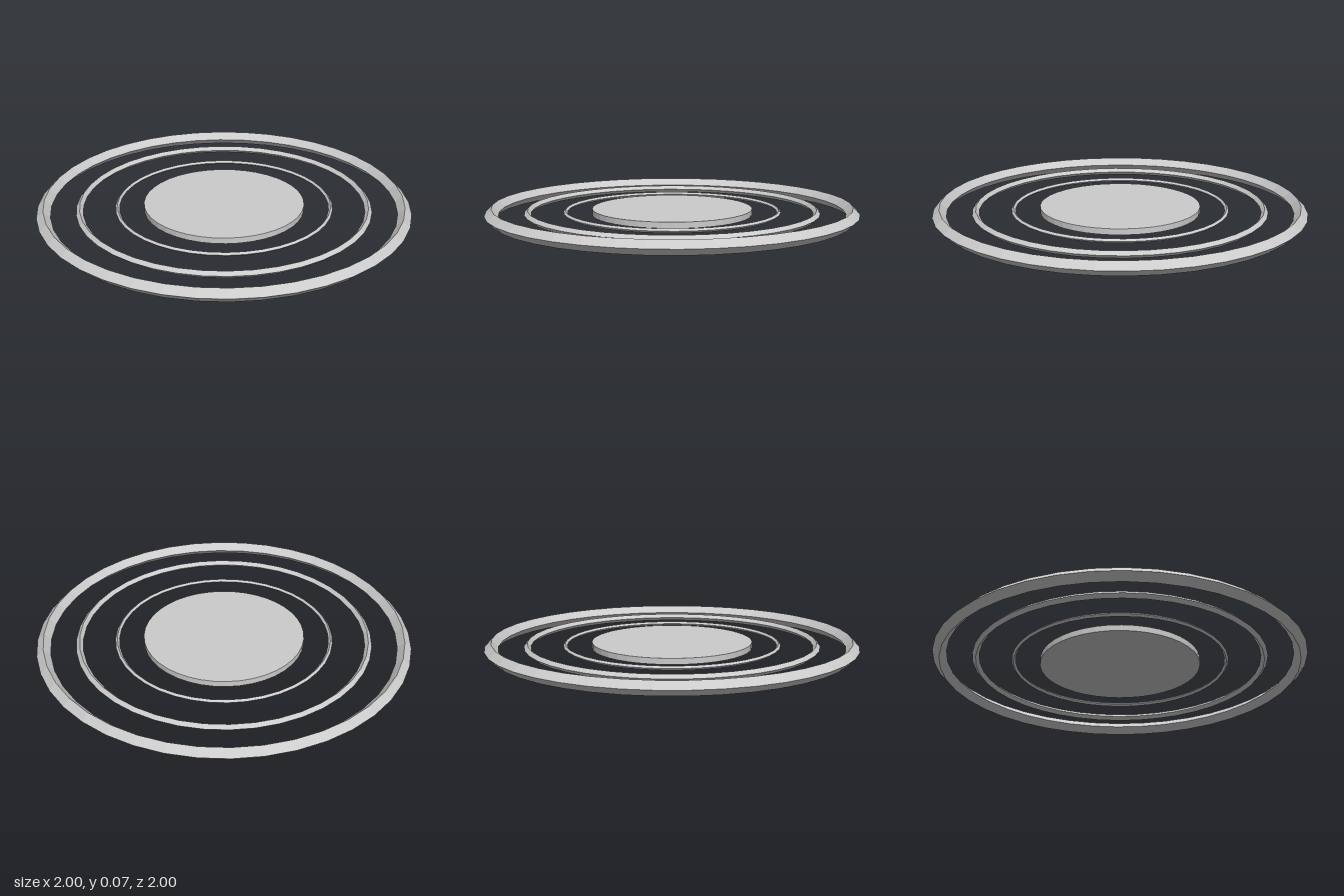
import * as THREE from 'three';

const SEGMENTS = 40;
const MID_Y = 0.037; // shared mid-plane of the disc and rings

export function createModel() {
  const model = new THREE.Group();
  const material = new THREE.MeshStandardMaterial({ color: 0xcccccc, flatShading: true });

  function add(name, geometry) {
    const mesh = new THREE.Mesh(geometry, material);
    mesh.name = name;
    mesh.position.y = MID_Y;
    model.add(mesh);
  }

  // Thin solid disc in the centre
  add('centreDisc', new THREE.CylinderGeometry(0.43, 0.43, 0.032, SEGMENTS));

  // Concentric rings with a diamond cross-section, thicker towards the outside
  const rings = [
    ['innerRing', 0.572, 0.011],
    ['middleRing', 0.773, 0.019],
    ['outerRing', 0.963, 0.037],
  ];
  for (const [name, radius, tube] of rings) {
    add(name, new THREE.TorusGeometry(radius, tube, 4, SEGMENTS).rotateX(Math.PI / 2));
  }

  return model;
}
